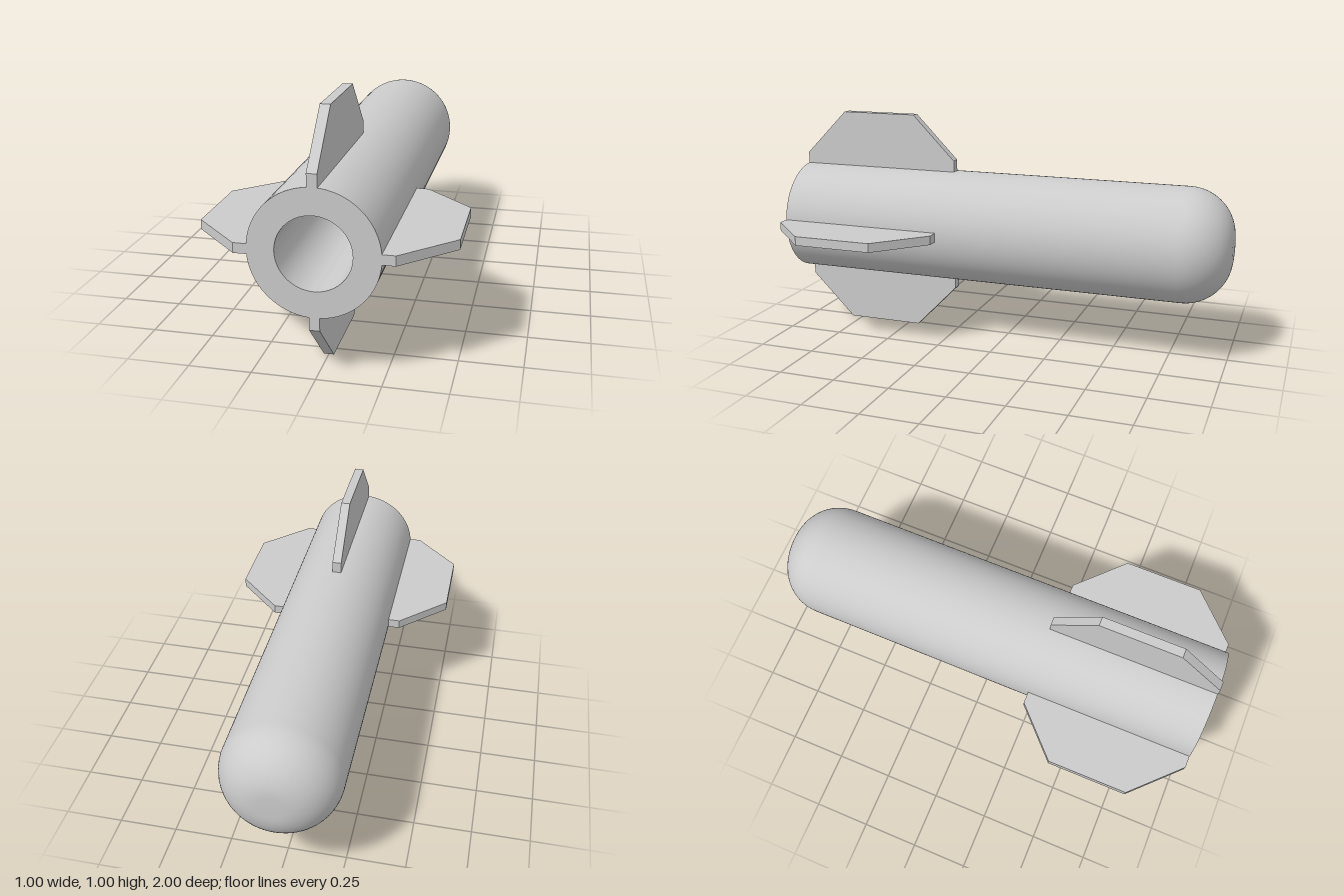
import * as THREE from 'three';
import { toCreasedNormals } from 'three/addons/utils/BufferGeometryUtils.js';

const RADIUS = 0.25, BORE = 0.145, FILLET = 0.2, FIN_THICKNESS = 0.04;

// Hollow tube with an open tail at +z and a rounded nose at -z
function bodyGeometry() {
  const profile = [[0, 0.9], [BORE, 0.9], [BORE, -1], [RADIUS, -1]]
    .map(([r, y]) => new THREE.Vector2(r, y));
  const steps = 16;
  for (let i = 0; i <= steps; i++) {
    const a = (i / steps) * Math.PI / 2;
    profile.push(new THREE.Vector2(
      RADIUS - FILLET + FILLET * Math.cos(a),
      1 - FILLET + FILLET * Math.sin(a)
    ));
  }
  profile.push(new THREE.Vector2(0, 1));
  const geometry = new THREE.LatheGeometry(profile, 96);
  geometry.rotateX(-Math.PI / 2);
  return toCreasedNormals(geometry, 0.6);
}

// Flat fin with clipped corners: outline in (radius, z), thickness centred
function finGeometry() {
  const outline = [[0.245, 0.255], [0.3, 0.255], [0.5, 0.45], [0.5, 0.8], [0.3, 1], [0.245, 1]];
  const shape = new THREE.Shape(outline.map(([r, z]) => new THREE.Vector2(r, z)));
  const geometry = new THREE.ExtrudeGeometry(shape, { depth: FIN_THICKNESS, bevelEnabled: false });
  geometry.translate(0, 0, -FIN_THICKNESS / 2);
  geometry.rotateX(Math.PI / 2);
  return geometry;
}

export function createModel() {
  const model = new THREE.Group();
  model.name = 'finnedRocket';
  const material = new THREE.MeshStandardMaterial({ color: 0xcccccc });

  const body = new THREE.Mesh(bodyGeometry(), material);
  body.name = 'body';
  body.position.y = 0.5;
  model.add(body);

  // Four fins spaced evenly round the tail
  const geometry = finGeometry();
  ['leftFin', 'topFin', 'rightFin', 'bottomFin'].forEach((name, i) => {
    const fin = new THREE.Mesh(geometry, material);
    fin.name = name;
    fin.position.y = 0.5;
    fin.rotation.z = i * Math.PI / 2;
    model.add(fin);
  });
  return model;
}
